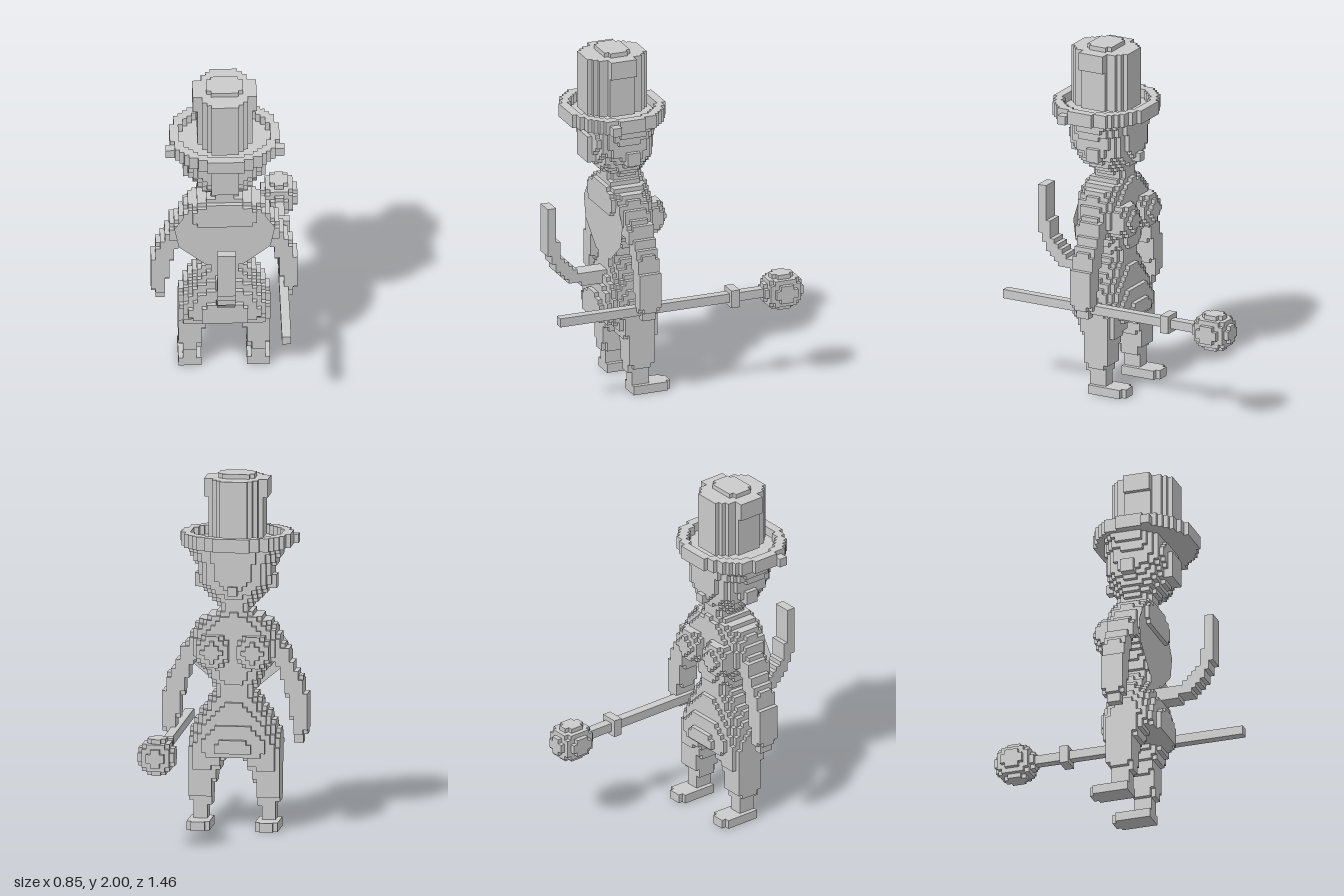
import * as THREE from 'three';

const V = 2 / 78; // voxel edge; all sizes below are in voxels
const MID = -0.5; // mirror plane of the figure

const material = new THREE.MeshStandardMaterial({ color: 0xcccccc, flatShading: true, side: THREE.DoubleSide });

// Solid tests: each returns a function telling whether a point is inside.
const box = (x0, x1, y0, y1, z0, z1) => (x, y, z) =>
  x > x0 && x < x1 && y > y0 && y < y1 && z > z0 && z < z1;

const ellipsoid = (cx, cy, cz, rx, ry, rz) => (x, y, z) =>
  ((x - cx) / rx) ** 2 + ((y - cy) / ry) ** 2 + ((z - cz) / rz) ** 2 < 1;

// Stack of rounded sections [y, x0, x1, z0, z1]; the powers square off the +z and -z halves.
const loft = (rows, frontPower = 2, backPower = frontPower) => (x, y, z) => {
  if (y < rows[0][0] || y > rows[rows.length - 1][0]) return false;
  let i = 0;
  while (i < rows.length - 2 && y > rows[i + 1][0]) i++;
  const a = rows[i], b = rows[i + 1], t = (y - a[0]) / (b[0] - a[0]);
  const [, x0, x1, z0, z1] = a.map((v, k) => v + (b[k] - v) * t);
  const dx = Math.abs(2 * x - x0 - x1) / (x1 - x0);
  const dz = (2 * z - z0 - z1) / (z1 - z0);
  const p = dz > 0 ? frontPower : backPower;
  return dx ** p + Math.abs(dz) ** p < 1;
};

// Section symmetrical about the middle of the figure
const sym = (rows) => rows.map(([y, h, z0, z1]) => [y, MID - h, MID + h, z0, z1]);
const mirror = (f) => (x, y, z) => f(2 * MID - x, y, z);
const any = (...fs) => (x, y, z) => fs.some((f) => f(x, y, z));

// Turns a solid test into a mesh of exposed cube faces.
function voxels(name, inside) {
  const at = (p) => inside(p[0], p[1] + 0.5, p[2]);
  const pos = [];
  for (let x = -17; x <= 17; x++)
    for (let y = 0; y < 78; y++)
      for (let z = -29; z <= 29; z++) {
        const p = [x, y, z];
        if (!at(p)) continue;
        for (let a = 0; a < 3; a++)
          for (const s of [-1, 1]) {
            const q = [...p];
            q[a] += s;
            if (at(q)) continue;
            const u = (a + 1) % 3, w = (a + 2) % 3;
            const corner = (i, j) => {
              const c = [x, y + 0.5, z];
              c[a] += s / 2;
              c[u] += i / 2;
              c[w] += (j * s) / 2;
              return c.map((v) => v * V);
            };
            const [A, B, C, D] = [corner(-1, -1), corner(1, -1), corner(1, 1), corner(-1, 1)];
            pos.push(...A, ...B, ...C, ...A, ...C, ...D);
          }
      }
  const geometry = new THREE.BufferGeometry();
  geometry.setAttribute('position', new THREE.Float32BufferAttribute(pos, 3));
  geometry.computeVertexNormals();
  const mesh = new THREE.Mesh(geometry, material);
  mesh.name = name;
  return mesh;
}

export function createModel() {
  const group = new THREE.Group();
  group.name = 'figure';
  const add = (name, ...solids) => group.add(voxels(name, any(...solids)));

  // Top hat: crown with a raised disc and two side tabs
  add('hatCrown',
    loft(sym([[64, 6, 3.5, 17.5], [77, 6, 3.5, 17.5]]), 2.4),
    loft(sym([[77, 4, 7.5, 13.5], [78, 4, 7.5, 13.5]]), 2.6),
    box(-7.5, 6.5, 73, 77, 7.5, 13.5));

  // Brim with an upturned rim and small corner tabs
  const brim = loft(sym([[62, 12, -0.5, 21.5], [65, 12, -0.5, 21.5]]), 2.1);
  const hollow = loft(sym([[63, 10, 1.5, 19.5], [66, 10, 1.5, 19.5]]), 2.1);
  const brimTab = box(-13.5, -10.5, 62, 64, 13.5, 15.5);
  add('hatBrim', (x, y, z) => brim(x, y, z) && !hollow(x, y, z), brimTab, mirror(brimTab));

  // Head, widening towards the brim, with ears and a small nose
  const ear = box(-9.5, -6.5, 53, 56, 7.5, 10.5);
  add('head',
    loft(sym([
      [47, 3, 4.5, 12.5], [50, 4, 4.5, 12.5], [51, 5.5, 4, 14], [53, 7, 3, 15.5], [55, 8, 2.5, 16.5],
      [58, 8.5, 2.5, 17.5], [60, 9.7, 2.5, 16.5], [63, 11, 2.5, 15.5],
    ]), 2.5),
    box(-3.5, 2.5, 53, 59, 12, 17.5),
    box(-1.5, 0.5, 52, 54, 1.5, 5));
  add('ears', ear, mirror(ear));

  // Torso, flat on the +z side and rounded on the other
  const bust = ellipsoid(MID - 4.5, 39.5, 4.5, 4, 4, 4.1);
  add('torso',
    loft(sym([
      [30, 4, 4.5, 12.5], [34, 6, 3.5, 12.5], [36, 8, 3.5, 12.5], [39, 11, 3, 12.5],
      [41, 10.5, 3, 13], [43, 9.8, 3, 13.5], [46, 7.3, 3.5, 13.5], [48, 3.5, 4, 12.5],
    ]), 4, 2.3),
    bust, mirror(bust));

  // Flat tapering panel across the torso
  const panel = new THREE.Shape(
    [[-4.5, 30], [3.5, 30], [9.5, 35], [10.5, 40], [8.5, 43], [-9.5, 43], [-11.5, 40], [-10.5, 35]]
      .map(([x, y]) => new THREE.Vector2(x * V, y * V)));
  const panelMesh = new THREE.Mesh(new THREE.ShapeGeometry(panel), material);
  panelMesh.name = 'torsoPanel';
  panelMesh.position.z = 12.55 * V;
  group.add(panelMesh);

  // Flared hips
  add('hips', loft(sym([
    [16, 9.5, 2.5, 15.5], [18, 10.3, 1.5, 15.7], [22, 9.5, 2.5, 15], [25, 8, 3.5, 13.7],
    [28, 6, 4, 12.5], [31, 4, 4.5, 12.5],
  ]), 2.5));

  // Legs and feet
  const leg = any(
    loft([
      [2, -9.6, -6.4, 5.5, 9.6], [5, -9.6, -6, 5.5, 10], [8, -10.6, -5.4, 4.5, 10.6],
      [12, -10.6, -4.4, 4.4, 10.6], [15, -10.6, -2.9, 3.5, 12], [18, -10.2, -2.4, 3.5, 12.5],
    ], 5),
    box(-10.5, -5.5, 0, 2, 1.5, 9.5),
    box(-9.5, -6.5, 0, 2, 0.5, 1.5));
  add('rightLeg', leg);
  add('leftLeg', mirror(leg));

  // Arms hanging outwards from the shoulders
  const arm = loft([
    [19, -15.6, -13.4, 6.4, 9.6], [21, -15.8, -13.4, 6.4, 9.6], [22, -16.6, -13.2, 5.4, 10.6],
    [28, -16.6, -12.4, 5.4, 10.6], [33, -15.4, -10.9, 5.4, 10.8], [36, -13.4, -9.9, 5, 11],
    [40, -12.2, -8, 5, 11.5],
  ], 4);
  add('rightArm', arm);
  add('leftArm', mirror(arm));

  // Curved tail: flat strip along a side-on path, thickness about three voxels
  const path = new THREE.CatmullRomCurve3([[25.5, 43], [25.5, 36], [24.3, 31], [21, 27], [17, 25.5], [11, 25.5]]
    .map(([z, y]) => new THREE.Vector3(0, y, z))).getPoints(60);
  add('tail', (x, y, z) => x > -2.5 && x < 1.5 && y < 43 &&
    path.some((p) => Math.hypot(p.y - y, p.z - z) < 1.3));

  // Long staff with collar and round knob
  add('staff',
    box(11.5, 13.5, 20, 22, -20, 28.5),
    box(10.5, 14.5, 19, 23, -13.5, -11.5));
  add('staffKnob', ellipsoid(12.5, 21, -24, 4.15, 4.15, 4.6));

  return group;
}
